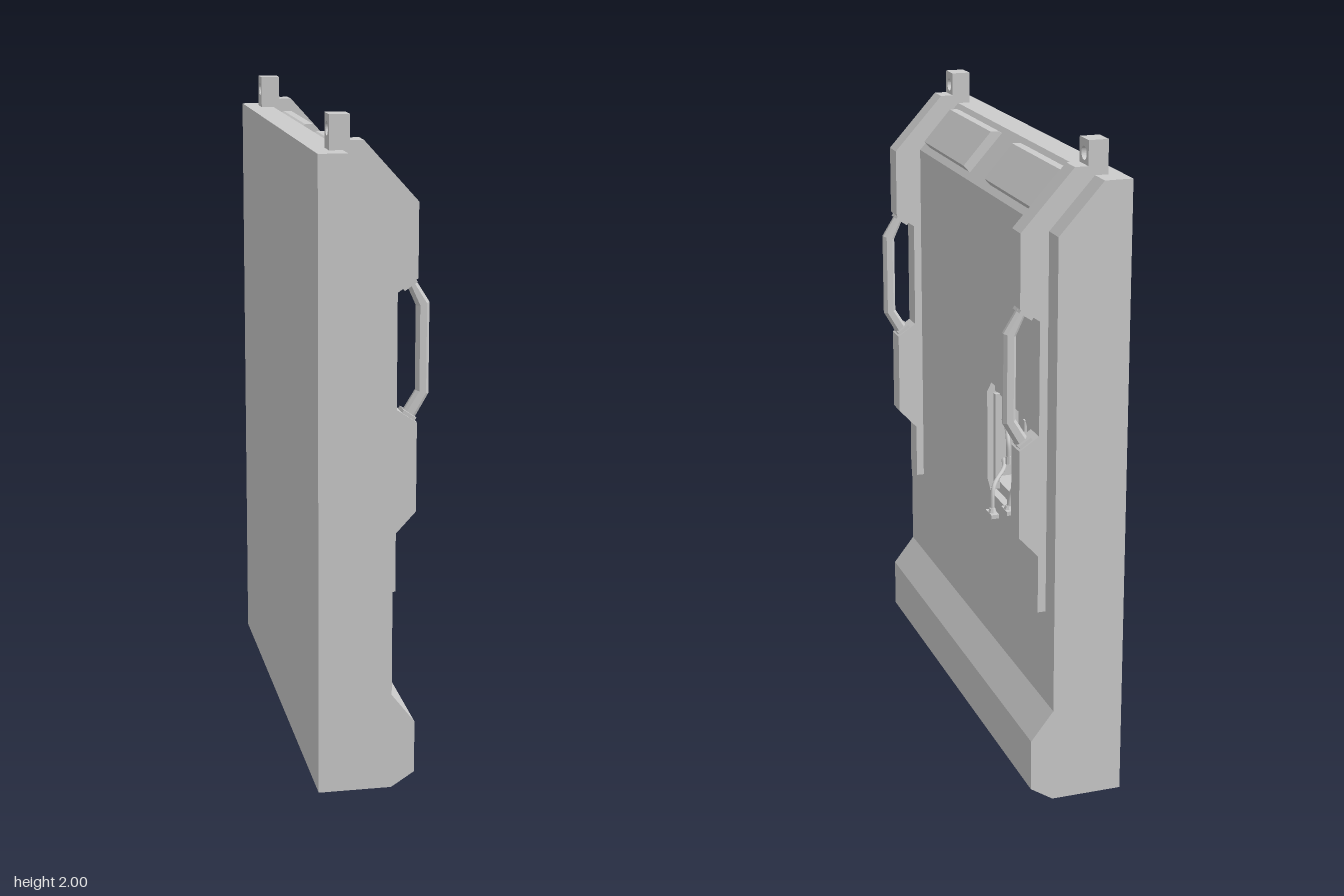
import * as THREE from 'three';

const FRONT = 0.045; // x of the main front face
const mat = new THREE.MeshStandardMaterial({ color: 0xcccccc, flatShading: true });
const smooth = new THREE.MeshStandardMaterial({ color: 0xcccccc });
const liner = new THREE.MeshStandardMaterial({ color: 0xcccccc, flatShading: true, side: THREE.DoubleSide });

const shapeOf = pts => new THREE.Shape(pts.map(p => new THREE.Vector2(p[0], p[1])));

// Side profile (x, y) extruded across z
function profile(pts, z0, z1) {
  return new THREE.ExtrudeGeometry(shapeOf(pts), { depth: z1 - z0, bevelEnabled: false }).translate(0, 0, z0);
}

// Remove the triangles lying in the main front plane, to open it up
function openFront(geo) {
  const g = geo.index ? geo.toNonIndexed() : geo;
  const p = g.attributes.position, out = [];
  for (let i = 0; i < p.count; i += 3) {
    if ([0, 1, 2].every(k => Math.abs(p.getX(i + k) - FRONT) < 1e-5)) continue;
    for (let k = 0; k < 3; k++) out.push(p.getX(i + k), p.getY(i + k), p.getZ(i + k));
  }
  const r = new THREE.BufferGeometry();
  r.setAttribute('position', new THREE.Float32BufferAttribute(out, 3));
  r.computeVertexNormals();
  return r;
}

function add(parent, name, geo, material = mat) {
  const m = new THREE.Mesh(geo, material);
  m.name = name;
  parent.add(m);
  return m;
}

function makeRail() {
  const g = new THREE.Group();
  // Stepped rail with a recess behind the handle
  add(g, 'rail', profile([
    [0.03, 0.59], [0.07, 0.59], [0.07, 0.77], [0.13, 0.835], [0.13, 1.105], [0.07, 1.145],
    [0.07, 1.49], [0.13, 1.53], [0.13, 1.75], [-0.03, 1.927], [-0.08, 1.927], [-0.1, 1.89], [0.03, 1.74]
  ], -0.035, 0.035));
  // Lifting lug with a through hole
  const lug = shapeOf([[-0.035, 1.89], [0.035, 1.89], [0.035, 2], [-0.035, 2]]);
  lug.holes.push(new THREE.Path().absarc(0, 1.958, 0.02, 0, Math.PI * 2, true));
  add(g, 'liftingLug', new THREE.ExtrudeGeometry(lug, { depth: 0.06, bevelEnabled: false, curveSegments: 12 })
    .rotateY(Math.PI / 2).translate(-0.13, 0, 0));
  // Grab handle with chamfered edges
  const handle = shapeOf([
    [0.1, 1.11], [0.125, 1.107], [0.17, 1.185], [0.17, 1.455], [0.125, 1.527], [0.1, 1.515],
    [0.132, 1.445], [0.132, 1.195], [0.092, 1.13]
  ]);
  add(g, 'handle', new THREE.ExtrudeGeometry(handle, {
    depth: 0.012, bevelEnabled: true, bevelThickness: 0.009, bevelSize: 0.009, bevelOffset: -0.009, bevelSegments: 1
  }).translate(0, 0, -0.006));
  // Mounting plates at the handle ends
  for (const s of [-1, 1]) {
    const plate = add(g, 'handleMount', new THREE.BoxGeometry(0.045, 0.012, 0.056));
    plate.position.set(0.108, 1.3175 + s * 0.193, 0);
    plate.rotation.z = s * 0.59;
  }
  return g;
}

// Hose through points given as (across, y, x)
function makeHose(parent, pts, plug) {
  const v = pts.map(([a, y, x]) => new THREE.Vector3(x, y, -a));
  add(parent, 'hose', new THREE.TubeGeometry(new THREE.CatmullRomCurve3(v), 24, 0.007, 8), smooth);
  const end = v[v.length - 1];
  if (plug) {
    add(parent, 'hosePlug', new THREE.BoxGeometry(0.025, 0.013, 0.055)).position.copy(end);
    add(parent, 'plugNeck', new THREE.CylinderGeometry(0.009, 0.014, 0.014, 8)).position.set(end.x, end.y + 0.012, end.z);
  } else {
    add(parent, 'hoseTip', new THREE.CylinderGeometry(0.009, 0.009, 0.025, 8)).position.copy(end);
  }
}

export function createModel() {
  const model = new THREE.Group();
  model.name = 'panelUnit';

  // Main body, with its front face made separately
  add(model, 'body', openFront(profile([
    [-0.175, 0], [0.045, 0], [0.115, 0.045], [0.115, 0.205], [FRONT, 0.295],
    [FRONT, 1.75], [-0.09, 1.9], [-0.175, 1.9]
  ], -0.73, 0.73)));

  // Front face with the eight-sided pocket opening
  const face = shapeOf([[-0.73, 0.295], [0.73, 0.295], [0.73, 1.75], [-0.73, 1.75]]);
  face.holes.push(shapeOf([
    [0.115, 0.825], [0.115, 1.115], [0.155, 1.155], [0.445, 1.155],
    [0.485, 1.115], [0.485, 0.825], [0.445, 0.79], [0.155, 0.79]
  ]));
  add(model, 'frontFace', new THREE.ShapeGeometry(face).rotateY(Math.PI / 2).translate(FRONT, 0, 0));

  // Pocket interior with rounded ceiling and floor
  const pocket = new THREE.Group();
  pocket.name = 'pocket';
  model.add(pocket);
  const section = [[FRONT, 0.79], [FRONT, 1.155], [0.02, 1.155], [0.02, 1.115]];
  for (let i = 0; i <= 6; i++) {
    const t = i / 6 * Math.PI / 2;
    section.push([-0.01 - 0.05 * Math.sin(t), 1.035 + 0.08 * Math.cos(t)]);
  }
  for (let i = 0; i <= 4; i++) {
    const t = i / 4 * Math.PI / 2;
    section.push([-0.03 - 0.03 * Math.cos(t), 0.855 - 0.03 * Math.sin(t)]);
  }
  section.push([0.02, 0.825], [0.02, 0.79]);
  add(pocket, 'pocketLiner', openFront(profile(section, -0.485, -0.115)), liner);

  // Upright bars and hoses in the pocket
  for (const a of [0.163, 0.433]) {
    add(pocket, 'pocketBar', new THREE.BoxGeometry(0.015, 0.315, 0.018)).position.set(0.03, 0.963, -a);
  }
  makeHose(pocket, [[0.115, 1.015, -0.01], [0.17, 1.01, 0], [0.215, 0.975, 0.01], [0.217, 0.915, 0.01]], false);
  makeHose(pocket, [[0.44, 0.98, -0.01], [0.39, 0.975, 0], [0.35, 0.95, 0.01], [0.345, 0.92, 0.01]], false);
  makeHose(pocket, [[0.115, 0.88, -0.01], [0.2, 0.882, 0.02], [0.265, 0.85, 0.075], [0.282, 0.768, 0.085]], true);
  makeHose(pocket, [[0.485, 0.92, -0.01], [0.42, 0.92, 0.015], [0.375, 0.88, 0.05], [0.362, 0.806, 0.062]], true);

  // Raised panels on the upper slope
  for (const [z0, z1] of [[0.1, 0.52], [-0.52, -0.1]]) {
    add(model, 'slopePanel', profile([
      [0.02, 1.768], [0.03, 1.768], [0.05, 1.79], [-0.04, 1.892], [-0.065, 1.892], [-0.09, 1.88]
    ], z0, z1));
  }

  // Rails with handles and lugs on both sides
  for (const s of [-1, 1]) {
    const rail = makeRail();
    rail.name = s > 0 ? 'frontRail' : 'rearRail';
    rail.position.z = s * 0.62;
    model.add(rail);
  }
  return model;
}
